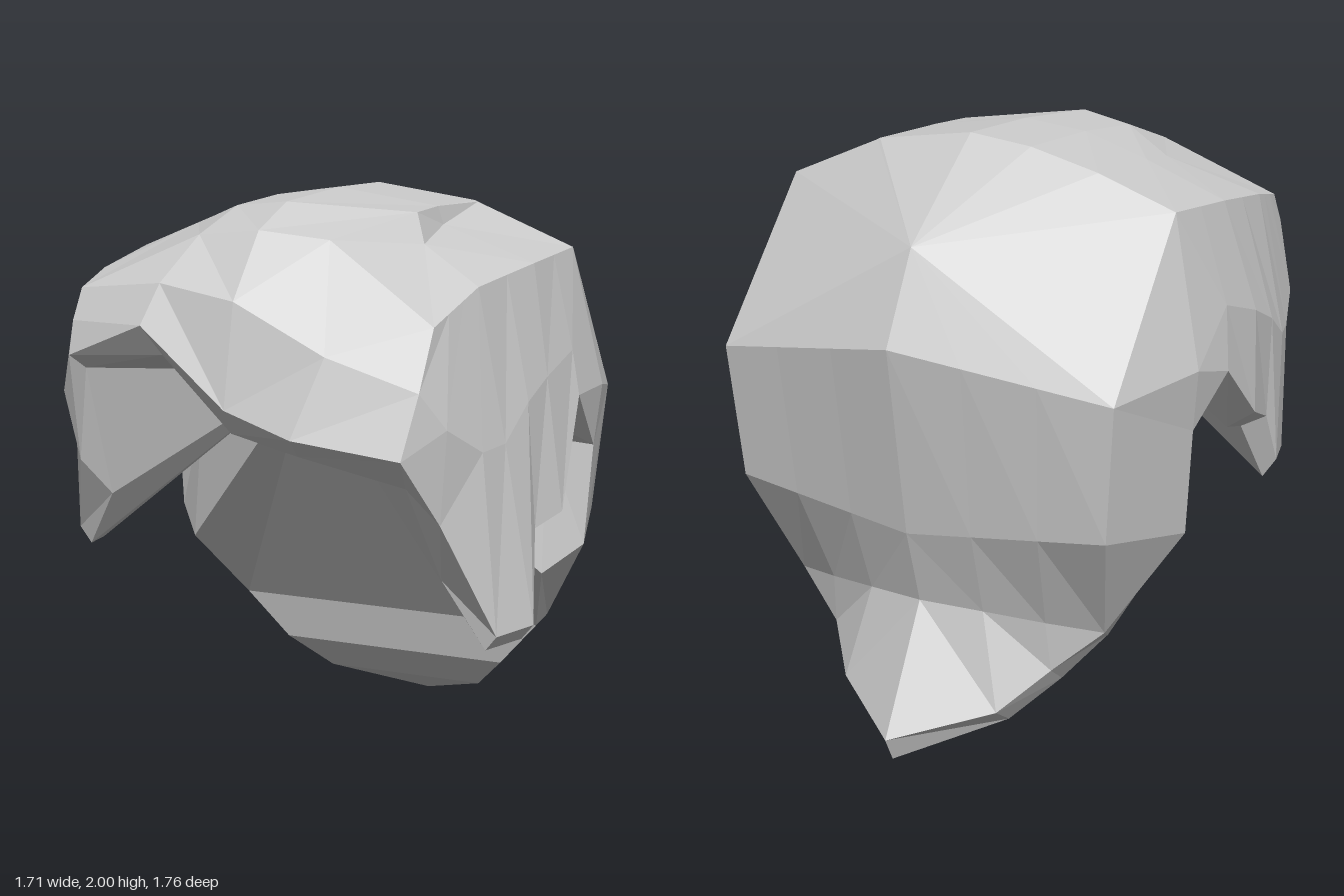
import * as THREE from 'three';

// Blend between two points; row() spreads n points along a straight line.
const lerp = (a, b, t) => a.map((v, i) => v + (b[i] - v) * t);
const row = (a, b, n) => Array.from({ length: n }, (_, i) => lerp(a, b, i / (n - 1)));
const fill = (p, n) => Array.from({ length: n }, () => p);

// Flat-shaded skin over rows of equal length; repeated points collapse to triangles.
function skin(name, s, ...grids) {
  const pos = [];
  const tri = (a, b, c) => {
    if (a === b || b === c || a === c) return;
    for (const p of s > 0 ? [a, b, c] : [a, c, b]) pos.push(p[0] * s, p[1], p[2]);
  };
  for (const rows of grids) {
    for (let r = 0; r < rows.length - 1; r++) {
      const lo = rows[r], hi = rows[r + 1];
      for (let i = 0; i < lo.length - 1; i++) {
        tri(lo[i], lo[i + 1], hi[i + 1]);
        tri(lo[i], hi[i + 1], hi[i]);
      }
    }
  }
  const geo = new THREE.BufferGeometry();
  geo.setAttribute('position', new THREE.Float32BufferAttribute(pos, 3));
  geo.computeVertexNormals();
  const mesh = new THREE.Mesh(geo, new THREE.MeshStandardMaterial({
    color: 0xcccccc, flatShading: true, side: THREE.DoubleSide }));
  mesh.name = name;
  return mesh;
}

// Where the two halves differ: swept fringe, long lock and stepped parting on the left,
// raised fringe and shorter lock on the right. Crown holds two points per row.
const LEFT = {
  fringe: [[0.24, 1.30, 0.88], [0.58, 1.25, 0.82]],
  fringeIn: [[0.24, 1.24, 0.82], [0.56, 1.15, 0.73]],
  brow: [[0.32, 1.55, 0.80], [0.61, 1.45, 0.75]],
  lock: [[0.65, 1.03, 0.67], [0.78, 0.65, 0.51], [0.85, 0.66, 0.36], [0.81, 0.95, 0.25], [0.85, 0.98, 0.10]],
  lockIn: [[0.60, 0.82, 0.53], [0.74, 0.60, 0.50], [0.81, 0.61, 0.36], [0.75, 0.93, 0.22], [0.77, 0.93, 0.07]],
  notch: [[0.83, 1.33, -0.11], [0.81, 1.12, -0.34]],
  cheek: [[0.67, 1.33, 0.67], [0.73, 1.24, 0.52], [0.76, 1.25, 0.40], [0.78, 1.36, 0.25],
    [0.79, 1.42, 0.10], [0.80, 1.48, -0.12], [0.83, 1.33, -0.36]],
  temple: [0.62, 1.64, 0.66],
  crown: [
    [[0.38, 1.945, 0.22], [0.43, 1.85, 0.28]],
    [[0.37, 1.95, 0.02], [0.39, 1.89, 0.02]],
    [[0.37, 1.945, -0.32], [0.38, 1.94, -0.32]],
  ],
};
const RIGHT = {
  fringe: [[0.32, 1.61, 0.80], [0.62, 1.49, 0.74]],
  fringeIn: [[0.28, 1.51, 0.73], [0.60, 1.44, 0.67]],
  brow: [[0.28, 1.74, 0.74], [0.62, 1.60, 0.71]],
  lock: [[0.66, 1.12, 0.62], [0.76, 0.85, 0.47], [0.81, 0.85, 0.32], [0.80, 1.02, 0.25], [0.85, 1.09, 0.05]],
  lockIn: [[0.60, 0.99, 0.52], [0.73, 0.79, 0.45], [0.76, 0.78, 0.32], [0.72, 0.98, 0.22], [0.76, 1.03, 0.03]],
  notch: [[0.855, 1.28, -0.17], [0.82, 1.12, -0.34]],
  cheek: [[0.68, 1.36, 0.68], [0.75, 1.28, 0.50], [0.79, 1.28, 0.38], [0.81, 1.36, 0.25],
    [0.82, 1.42, 0.10], [0.82, 1.48, -0.12], [0.845, 1.32, -0.36]],
  temple: [0.62, 1.70, 0.65],
  crown: [
    [[0.22, 1.955, 0.32], [0.43, 1.88, 0.20]],
    [[0.22, 1.97, 0.02], [0.45, 1.895, 0.02]],
    [[0.22, 1.965, -0.33], [0.46, 1.90, -0.32]],
  ],
};

function half(s, v) {
  const side = s > 0 ? 'left' : 'right';
  const group = new THREE.Group();
  group.name = side + 'Half';

  // Hem behind the lock: ear notch, then the nape narrowing to a tip
  const notch = [...v.notch, [0.79, 0.77, -0.32]];
  const notchIn = [[0.70, 1.24, -0.11], [0.67, 1.15, -0.25], [0.68, 0.68, -0.20]];
  const nape = [[0.60, 0.45, -0.50], [0.43, 0.30, -0.55], [0.30, 0.17, -0.68], [0, 0.08, -0.88]];
  const napeIn = [[0.58, 0.42, -0.44], [0.43, 0.25, -0.48], [0.30, 0.12, -0.60], [0, 0, -0.84]];
  const hem = [[0, 1.37, 0.85], ...v.fringe, ...v.lock, ...notch, nape[0]];
  const hemIn = [[0, 1.29, 0.80], ...v.fringeIn, ...v.lockIn, ...notchIn, napeIn[0]];
  const apex = [0, 1.41, 0.25];

  // Corner points of the back
  const rim = [0.73, 1.80, -0.31], corner = [0.74, 1.27, -0.71], low = [0.70, 0.82, -0.68];
  const whorl = [0, 1.68, -0.69];

  // Side edge of the crown, from temple to rear rim
  const mid1 = [0.67, 1.74, 0.42], mid2 = [0.72, 1.78, 0.05];
  const edge = [...row(v.temple, mid1, 4), lerp(mid1, mid2, 0.5),
    mid2, lerp(mid2, rim, 0.5), rim, corner, low];
  const cheek = [v.brow[1], ...v.cheek, corner, low];

  // Crown and fringe, running from the front hem to the rear rim
  const rear = [[0, 1.995, -0.34], ...v.crown[2], rim];
  group.add(skin(side + 'CrownAndFringe', s, [
    [...hem.slice(0, 3), hem[2]],
    [[0, 1.70, 0.78], ...v.brow, v.brow[1]],
    [[0, 1.905, 0.60], [0.23, 1.88, 0.565], v.temple, v.temple],
    [[0, 1.98, 0.40], ...v.crown[0], mid1],
    [[0, 2, 0], ...v.crown[1], mid2],
    rear,
  ]));

  group.add(skin(side + 'SideLocks', s, [hem.slice(2), cheek, edge]));

  // Back, from the nape up to the whorl and rim
  group.add(skin(side + 'Back', s, [
    nape,
    [nape[0], [0.42, 0.47, -0.57], [0.22, 0.49, -0.63], [0, 0.50, -0.67]],
    [low, ...row(low, [0, 0.75, -0.74], 4).slice(1)],
    [corner, ...row(corner, [0, 1.38, -0.835], 4).slice(1)],
    [rim, whorl, whorl, whorl],
  ], [[rim, whorl, whorl, whorl], [...rear].reverse()]));

  // Thickness of the hem
  group.add(skin(side + 'HemEdge', s, [hemIn, hem], [napeIn, nape]));

  // Hollow under the hair and the flat front of the nape
  const flat = napeIn.map((p) => [[0, p[1], p[2]], p]).reverse();
  flat[0] = fill(napeIn[3], 2);
  const under = [...hemIn, flat[3][0]];
  group.add(skin(side + 'Underside', s, [fill(apex, under.length), under], flat));
  return group;
}

export function createModel() {
  const model = new THREE.Group();
  model.name = 'hair';
  model.add(half(1, LEFT), half(-1, RIGHT));
  return model;
}
